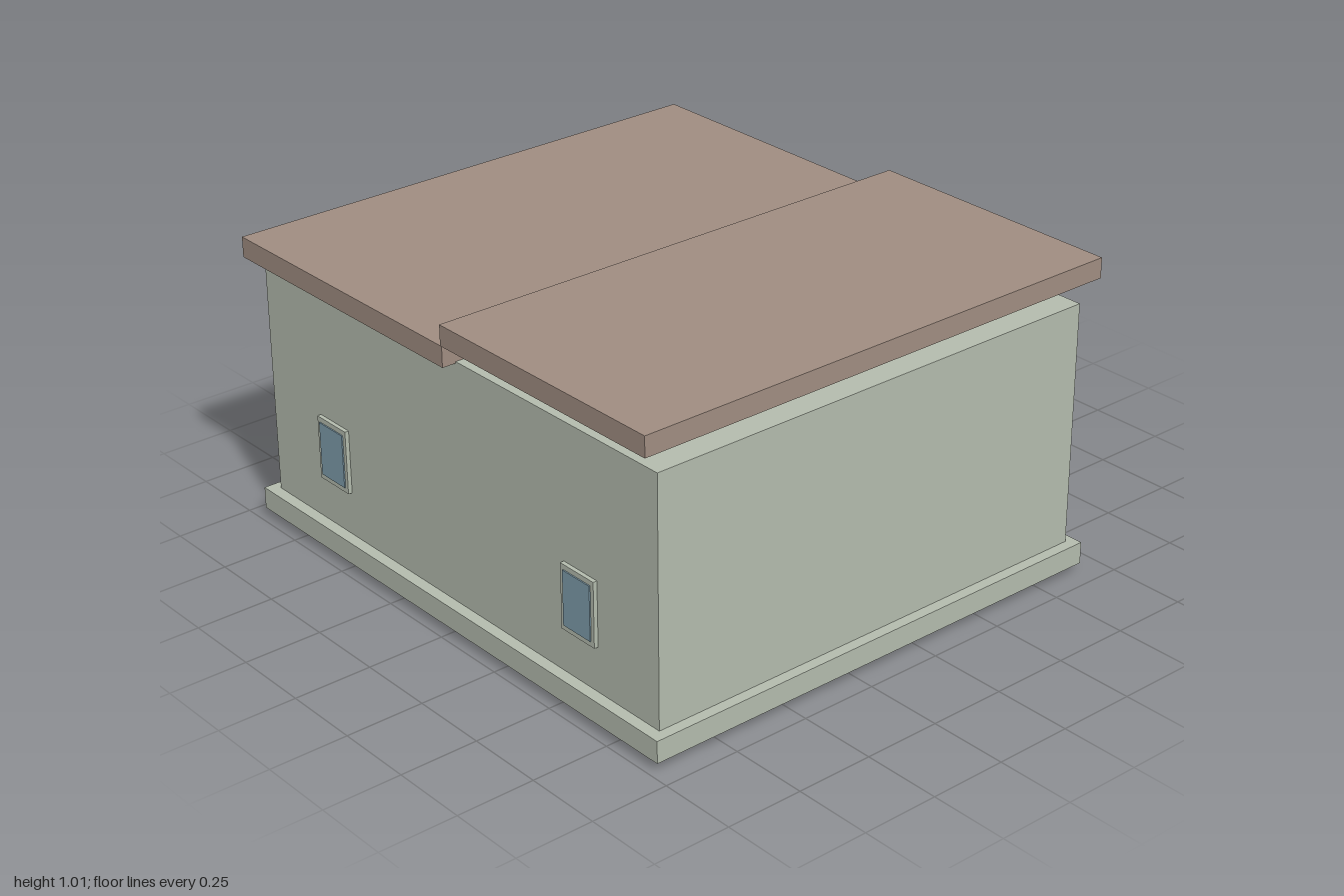
import * as THREE from 'three';

const wall = new THREE.MeshStandardMaterial({ name: 'sage plaster', color: 0xb4bcae });
const brown = new THREE.MeshStandardMaterial({ name: 'taupe brown', color: 0xa08d81 });
const glass = new THREE.MeshStandardMaterial({ name: 'blue glass', color: 0x7f9dac });

// Box given by its lower and upper limits on each axis
function box(parent, name, material, [x0, x1], [y0, y1], [z0, z1]) {
  const mesh = new THREE.Mesh(new THREE.BoxGeometry(x1 - x0, y1 - y0, z1 - z0), material);
  mesh.position.set((x0 + x1) / 2, (y0 + y1) / 2, (z0 + z1) / 2);
  mesh.name = name;
  parent.add(mesh);
}

function group(parent, name, x = 0) {
  const g = new THREE.Group();
  g.name = name;
  g.position.x = x;
  parent.add(g);
  return g;
}

export function createModel() {
  const house = new THREE.Group();
  house.name = 'house';

  // Body
  box(house, 'plinth', wall, [-0.935, 0.94], [0.03, 0.1], [-0.663, 0.98]);
  box(house, 'walls', wall, [-0.9, 0.905], [0.1, 0.877], [-0.632, 0.943]);

  // Two flat roof slabs, the left one raised clear of the walls
  box(house, 'lowerRoof', brown, [-0.945, 0.046], [0.872, 0.937], [-0.682, 0.988]);
  box(house, 'upperRoof', brown, [0.056, 0.925], [0.946, 1.01], [-0.692, 1.0]);

  // Rail under the rear eaves
  box(house, 'rearRail', wall, [-0.86, 0.88], [0.826, 0.846], [-0.655, -0.632]);

  for (const x of [-0.577, 0.579]) {
    // Front window
    const front = group(house, 'frontWindow', x);
    box(front, 'frame', wall, [-0.071, 0.071], [0.243, 0.449], [0.943, 0.956]);
    box(front, 'pane', glass, [-0.058, 0.058], [0.26, 0.433], [0.955, 0.96]);

    // Rear window with crossed bars and a sill
    const rear = group(house, 'rearWindow', x);
    box(rear, 'frame', wall, [-0.096, 0.096], [0.238, 0.47], [-0.656, -0.632]);
    box(rear, 'pane', glass, [-0.08, 0.08], [0.25, 0.456], [-0.663, -0.655]);
    box(rear, 'uprightBar', wall, [-0.006, 0.006], [0.25, 0.456], [-0.668, -0.662]);
    box(rear, 'crossBar', wall, [-0.08, 0.08], [0.347, 0.359], [-0.668, -0.662]);
    box(rear, 'sill', wall, [-0.118, 0.118], [0.22, 0.243], [-0.67, -0.632]);
  }

  // Rear door and its step
  const door = group(house, 'door');
  box(door, 'frame', wall, [-0.13, 0.13], [0.018, 0.47], [-0.656, -0.626]);
  box(door, 'panel', brown, [-0.106, 0.106], [0.04, 0.455], [-0.67, -0.65]);
  box(door, 'doorPane', glass, [-0.07, 0.07], [0.26, 0.368], [-0.679, -0.67]);
  box(house, 'step', wall, [-0.206, 0.21], [0, 0.045], [-1, -0.647]);

  return house;
}
